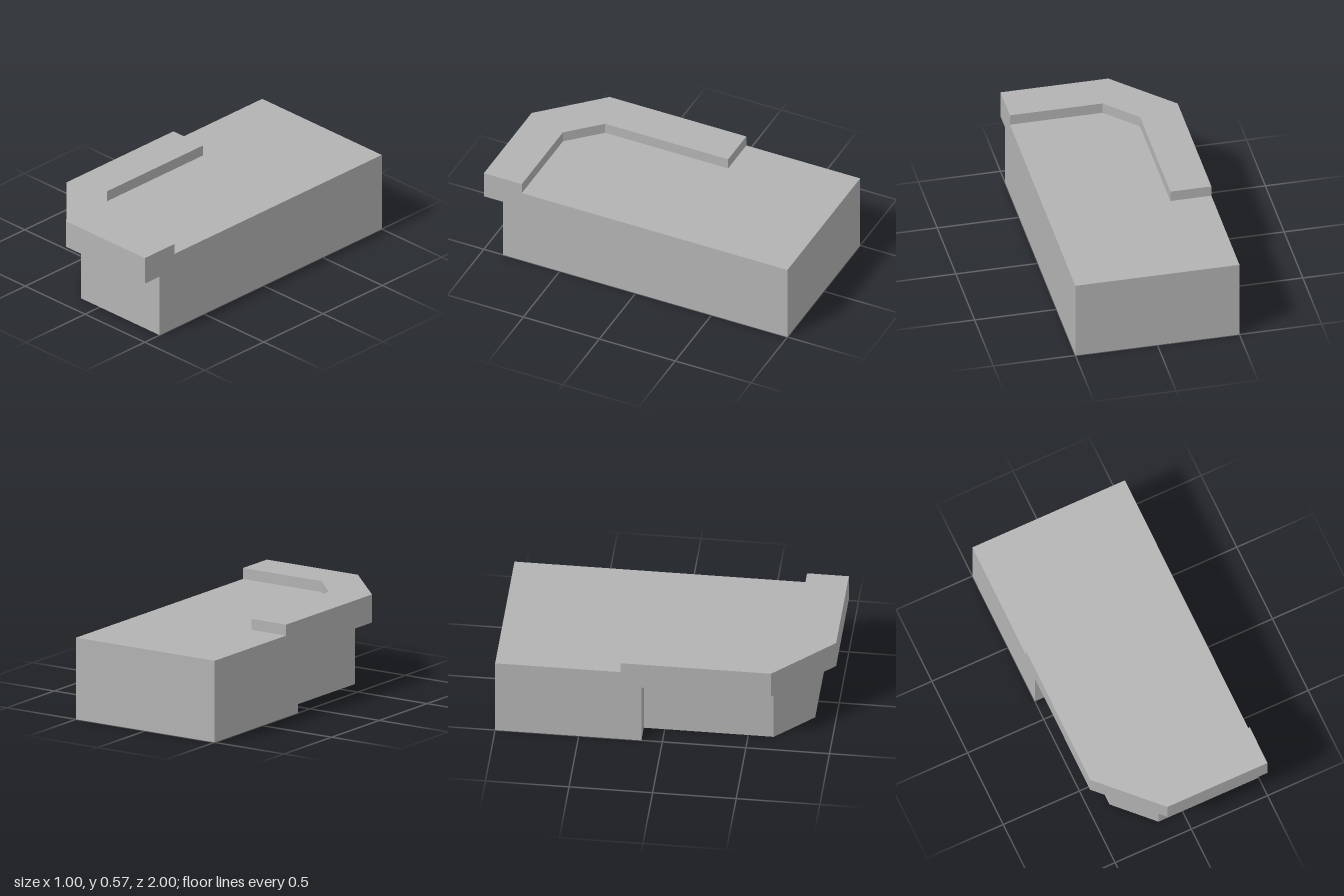
import * as THREE from 'three';

// Extrudes a floor plan given as [x, z] corners from height y0 to y1.
function slab(name, plan, y0, y1, material) {
  const shape = new THREE.Shape(plan.map(([x, z]) => new THREE.Vector2(x, -z)));
  const geometry = new THREE.ExtrudeGeometry(shape, { depth: y1 - y0, bevelEnabled: false });
  geometry.rotateX(-Math.PI / 2).translate(0, y0, 0);
  const mesh = new THREE.Mesh(geometry, material);
  mesh.name = name;
  return mesh;
}

export function createModel() {
  const grey = new THREE.MeshStandardMaterial({ color: 0xb3b3b3 });
  grey.name = 'plain grey';

  // Outer edge shared by the overhanging layer and the raised rim
  const outerFront = [[-0.5, 0.65], [-0.157, 1], [0.5, 1]];

  // Base, set back under the overhang on the front and one side
  const basePlan = [
    [0.5, -1], [-0.5, -1], [-0.5, -0.125], [-0.375, -0.125],
    [-0.375, 0.652], [-0.157, 0.875], [0.5, 0.875],
  ];
  // Full-width layer that forms the main top surface
  const topPlan = [[0.5, -1], [-0.5, -1], ...outerFront];
  // L-shaped raised rim with a cut corner
  const rimPlan = [
    [-0.25, -0.25], [-0.5, -0.25], ...outerFront,
    [0.5, 0.75], [-0.065, 0.75], [-0.25, 0.56],
  ];

  const model = new THREE.Group();
  model.name = 'counterBlock';
  model.add(
    slab('base', basePlan, 0, 0.395, grey),
    slab('overhangingTop', topPlan, 0.395, 0.5, grey),
    slab('raisedRim', rimPlan, 0.5, 0.567, grey),
  );
  return model;
}
